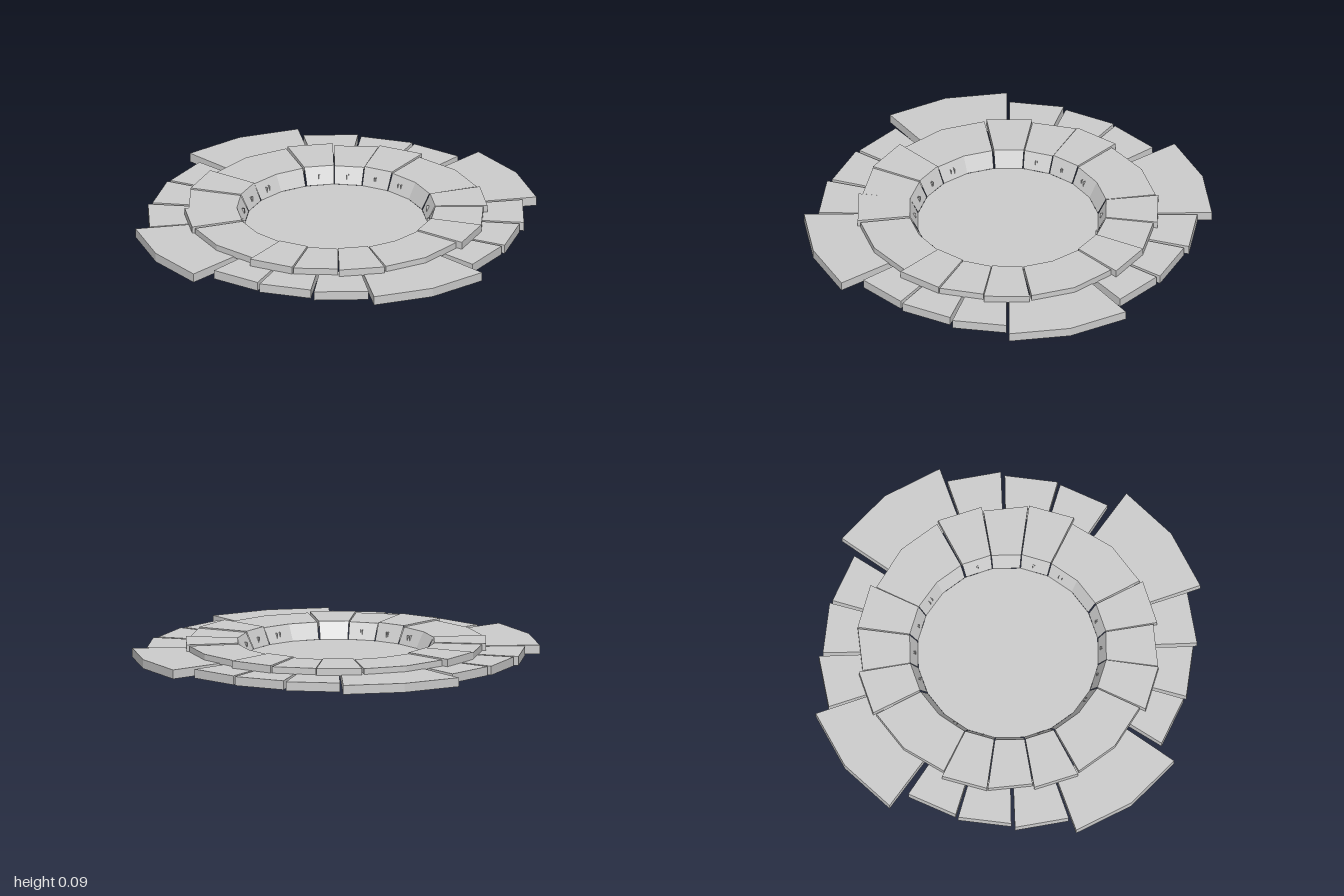
import * as THREE from 'three';

const material = new THREE.MeshStandardMaterial({ color: 0xcccccc, flatShading: true, side: THREE.DoubleSide });
const FLOOR_Y = 0.01, FLOOR_R = 0.445, RIM_R = 0.485;

// Point at an angle in degrees, turning from +x towards +z
function polar(deg, r, y) {
  const a = THREE.MathUtils.degToRad(deg);
  return [r * Math.cos(a), y, r * Math.sin(a)];
}

// Mesh from a list of four-cornered faces
function quadMesh(name, quads) {
  const positions = [];
  for (const [a, b, c, d] of quads) positions.push(...a, ...b, ...c, ...a, ...c, ...d);
  const geometry = new THREE.BufferGeometry();
  geometry.setAttribute('position', new THREE.Float32BufferAttribute(positions, 3));
  geometry.computeVertexNormals();
  const mesh = new THREE.Mesh(geometry, material);
  mesh.name = name;
  return mesh;
}

// Hollow sector, open below: a top, faceted outer walls and two radial side walls
function sector(name, { angles, radii, capR, wallR, top, bottom, innerBottom = bottom, slope = false }) {
  const quads = [];
  for (let i = 0; i < angles.length - 1; i++) {
    const a = angles[i], b = angles[i + 1], ra = radii[i], rb = radii[i + 1];
    quads.push([polar(a, capR, top), polar(b, capR, top), polar(b, rb, top), polar(a, ra, top)]);
    quads.push([polar(a, ra, top), polar(b, rb, top), polar(b, rb, bottom), polar(a, ra, bottom)]);
    // sloping face down to the floor
    if (slope) {
      quads.push([polar(a, FLOOR_R, FLOOR_Y), polar(b, FLOOR_R, FLOOR_Y), polar(b, capR, top), polar(a, capR, top)]);
    }
  }
  const side = (a, r) => [polar(a, wallR, top), polar(a, r, top), polar(a, r, bottom), polar(a, wallR, innerBottom)];
  quads.push(side(angles[0], radii[0]));
  quads.push(side(angles.at(-1), radii.at(-1)).reverse());
  return quadMesh(name, quads);
}

function createQuarter() {
  const quarter = new THREE.Group();
  quarter.name = 'quarter';

  // wide lower plate
  quarter.add(sector('largeOuterPlate', {
    angles: [-17.5, 0, 17.5], radii: [0.997, 1, 0.997],
    capR: 0.69, wallR: 0.45, top: 0.06, bottom: 0.015,
  }));

  // three narrow lower plates, each a little shorter than the last
  const plates = [[18.3, 34.9, 0.925], [36, 52.6, 0.905], [53.6, 70, 0.895]];
  for (const [a, b, r] of plates) {
    quarter.add(sector('smallOuterPlate', {
      angles: [a, b], radii: [r, r],
      capR: 0.69, wallR: 0.45, top: 0.058, bottom: 0.013, innerBottom: 0,
    }));
  }

  // raised ring: one double plate and three single ones
  const ring = [
    [[-27, -8.7, 8.7], [0.715, 0.73, 0.73], 0.089],
    [[9.6, 27], [0.742, 0.74], 0.093],
    [[27.4, 44.6], [0.72, 0.74], 0.09],
    [[45, 62.6], [0.742, 0.745], 0.095],
  ];
  for (const [angles, radii, top] of ring) {
    quarter.add(sector('ringPlate', {
      angles, radii, top, capR: RIM_R, wallR: RIM_R, bottom: 0.055, slope: true,
    }));
  }
  return quarter;
}

export function createModel() {
  const model = new THREE.Group();
  model.name = 'segmentedDisc';

  for (let i = 0; i < 4; i++) {
    const quarter = createQuarter();
    quarter.rotation.y = i * Math.PI / 2;
    model.add(quarter);
  }

  // sunken centre floor
  const floorGeometry = new THREE.CircleGeometry(FLOOR_R, 20, Math.PI / 20);
  floorGeometry.rotateX(-Math.PI / 2);
  const floor = new THREE.Mesh(floorGeometry, material);
  floor.name = 'centreFloor';
  floor.position.y = FLOOR_Y;
  model.add(floor);

  return model;
}
